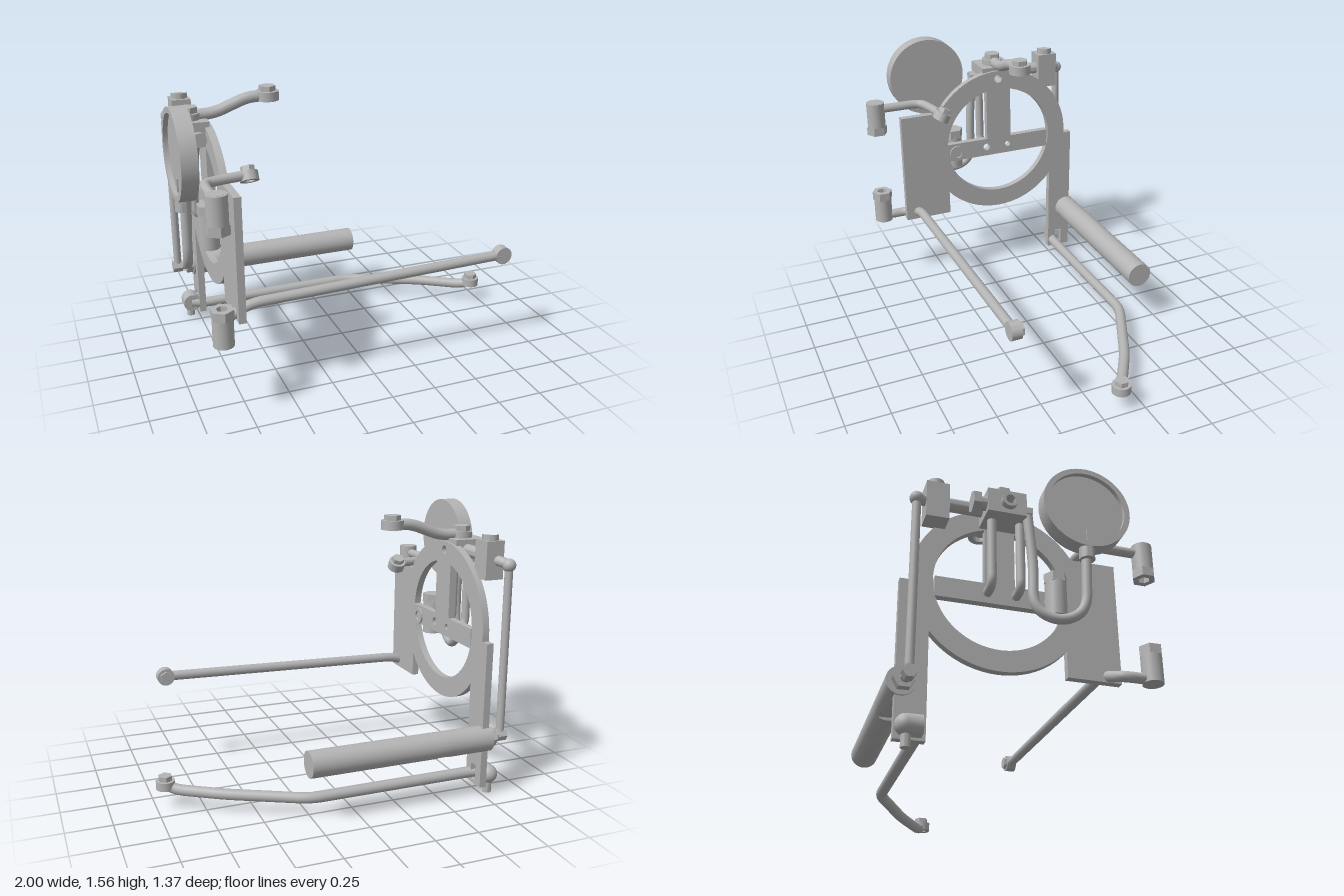
import * as THREE from 'three';
import { toCreasedNormals } from 'three/addons/utils/BufferGeometryUtils.js';

const V = (a) => new THREE.Vector3(...a);

export function createModel() {
  const model = new THREE.Group();
  const steel = new THREE.MeshStandardMaterial({ color: 0xb4b4b4 });
  steel.name = 'steelGrey';

  const add = (name, geo, pos = [0, 0, 0], parent = model) => {
    const m = new THREE.Mesh(geo, steel);
    m.name = name;
    m.position.set(...pos);
    parent.add(m);
    return m;
  };
  const box = (name, x0, x1, y0, y1, z0, z1) =>
    add(name, new THREE.BoxGeometry(x1 - x0, y1 - y0, z1 - z0), [(x0 + x1) / 2, (y0 + y1) / 2, (z0 + z1) / 2]);

  // Solid round or hexagonal bar between two points
  const bar = (name, a, b, r, sides = 28, parent = model) => {
    const p = V(a), q = V(b), d = q.clone().sub(p);
    const geo = toCreasedNormals(new THREE.CylinderGeometry(r, r, d.length(), sides), 0.6);
    const m = add(name, geo, p.clone().add(q).multiplyScalar(0.5).toArray(), parent);
    m.quaternion.setFromUnitVectors(new THREE.Vector3(0, 1, 0), d.normalize());
    return m;
  };

  // Pipe along a polyline with rounded corners
  const pipe = (name, pts, r, bend = 0.06) => {
    const p = pts.map(V), path = new THREE.CurvePath();
    let last = p[0];
    for (let i = 1; i < p.length - 1; i++) {
      const toward = (q) => {
        const d = q.clone().sub(p[i]);
        return p[i].clone().add(d.setLength(Math.min(bend, d.length() * 0.48)));
      };
      const a = toward(p[i - 1]), b = toward(p[i + 1]);
      path.add(new THREE.LineCurve3(last, a));
      path.add(new THREE.QuadraticBezierCurve3(a, p[i], b));
      last = b;
    }
    path.add(new THREE.LineCurve3(last, p[p.length - 1]));
    path.arcLengthDivisions = 600;
    return add(name, new THREE.TubeGeometry(path, 120, r, 16), [0, 0, 0]);
  };

  // Shapes are drawn in (z, y) and given thickness along x, from x1 down to x0
  const rect = (z0, z1, y0, y1, Type = THREE.Shape) =>
    new Type([[z0, y0], [z1, y0], [z1, y1], [z0, y1]].map((c) => new THREE.Vector2(...c)));
  const disc = (z, y, r, Type = THREE.Path) => new Type().absarc(z, y, r, 0, Math.PI * 2);
  const slab = (name, shape, x0, x1, holes = []) => {
    shape.holes.push(...holes);
    const geo = new THREE.ExtrudeGeometry(shape, { depth: x1 - x0, bevelEnabled: false, curveSegments: 36 });
    return add(name, toCreasedNormals(geo.rotateY(-Math.PI / 2), 0.5), [x1, 0, 0]);
  };
  const lathe = (pts, sides = 28) =>
    toCreasedNormals(new THREE.LatheGeometry(pts.map((c) => new THREE.Vector2(...c)), sides), 0.6);

  // Banjo end: ring hollow from below with a hexagonal bolt head on top
  const banjo = (name, pos, axis, r = 0.063, h = 0.052) => {
    const g = new THREE.Group();
    g.name = name;
    add('ring', lathe([[0, h * 0.6], [r * 0.55, h * 0.6], [r * 0.55, 0], [r, 0], [r, h], [0, h]]), [0, 0, 0], g);
    bar('boltHead', [0, h, 0], [0, h + 0.028, 0], r * 0.75, 6, g);
    g.position.set(...pos);
    g.quaternion.setFromUnitVectors(new THREE.Vector3(0, 1, 0), V(axis).normalize());
    model.add(g);
  };

  // Threaded sleeve: round body with a hexagonal open collar; flip puts the collar below
  const sleeve = (name, x, y, z, flip) => {
    const g = new THREE.Group();
    g.name = name;
    add('body', lathe([[0, -0.1], [0.054, -0.1], [0.054, 0.055], [0, 0.055]]), [0, 0, 0], g);
    add('collar', lathe([[0.062, 0.05], [0.062, 0.1], [0.03, 0.1], [0.03, 0.056]], 6), [0, 0, 0], g);
    g.position.set(x, y, z);
    if (flip) g.rotation.x = Math.PI;
    model.add(g);
  };

  // Mounting plate: ring, side plates and inner tee
  const X0 = -0.76, X1 = -0.72, CZ = -0.125, CY = 0.911;
  slab('ringPlate', disc(CZ, CY, 0.46, THREE.Shape), X0, X1, [disc(CZ, CY, 0.345), disc(CZ, 1.32, 0.025)]);
  slab('frontSidePlate', rect(0.222, 0.51, 0.465, 1.15), X0, X1);
  slab('rearSidePlate', rect(-0.635, -0.483, 0.055, 0.89), X0, X1, [rect(-0.58, -0.535, 0.075, 0.17, THREE.Path)]);
  slab('crossbar', rect(-0.46, 0.22, 0.82, 0.932), X0, X1, [disc(-0.04, 0.878, 0.022), disc(-0.185, 0.878, 0.018)]);
  slab('uprightBar', rect(-0.205, -0.045, 0.93, 1.27), X0, X1);

  // Fitting through the crossbar
  bar('crossbarFitting', [-0.81, 0.76, 0.155], [-0.81, 0.96, 0.155], 0.056);
  bar('crossbarFittingHead', [-0.81, 0.95, 0.155], [-0.81, 1.003, 0.155], 0.062, 6);
  slab('crossbarPort', disc(0.16, 0.868, 0.05, THREE.Shape), -0.8, -0.71, [disc(0.16, 0.868, 0.028)]);

  // Distribution block, drilled through, with its ports and feed pipes
  slab('manifoldBlock', rect(-0.235, -0.03, 1.255, 1.39), -0.93, -0.735, [disc(CZ, 1.32, 0.025)]);
  slab('manifoldNipple', disc(CZ, 1.32, 0.042, THREE.Shape), -0.962, -0.93, [disc(CZ, 1.32, 0.025)]);
  bar('manifoldFrontPort', [-0.8, 1.3, -0.035], [-0.8, 1.3, 0], 0.04);
  bar('gaugePort', [-0.89, 1.3, -0.035], [-0.89, 1.3, 0.005], 0.035, 6);
  bar('rearPort', [-0.89, 1.315, -0.23], [-0.89, 1.315, -0.28], 0.036);
  bar('rearPortNut', [-0.89, 1.315, -0.27], [-0.89, 1.315, -0.31], 0.06, 6);
  for (const z of [-0.04, -0.19])
    pipe('feedPipe', [[-0.84, 1.27, z], [-0.84, 0.878, z], [-0.755, 0.878, z]], 0.024, 0.05);

  // Top arm
  bar('topArmRing', [-0.825, 1.385, -0.127], [-0.825, 1.425, -0.127], 0.062);
  bar('topArmBolt', [-0.825, 1.42, -0.127], [-0.825, 1.457, -0.127], 0.05, 6);
  pipe('topArm', [[-0.82, 1.408, -0.127], [-0.69, 1.408, -0.127], [-0.5, 1.48, -0.127], [-0.4, 1.48, -0.127]], 0.032);
  banjo('topArmEnd', [-0.387, 1.455, -0.127], [0, 1, 0]);

  // Gauge: open-faced drum facing outward, with pointer and stem
  const drum = add('gauge', lathe([[0, 0], [0.235, 0], [0.235, 0.085], [0.205, 0.085], [0.205, 0.06], [0, 0.06]], 56),
    [-0.915, 1.325, 0.272]);
  drum.rotation.z = Math.PI / 2;
  box('gaugePointer', -0.984, -0.974, 1.13, 1.2, 0.268, 0.276);
  bar('gaugeStem', [-0.96, 1.03, 0.272], [-0.96, 1.1, 0.272], 0.04);
  pipe('gaugePipe', [[-0.95, 1.05, 0.272], [-0.95, 0.74, 0.26], [-0.93, 0.67, 0.13], [-0.9, 0.74, 0.0],
    [-0.89, 1.0, 0.01], [-0.89, 1.3, -0.015]], 0.026, 0.1);

  // Valve behind the block, with slotted screw and long return pipe
  bar('valveNeck', [-0.81, 1.33, -0.23], [-0.81, 1.33, -0.43], 0.035);
  box('valveBody', -0.857, -0.75, 1.215, 1.425, -0.535, -0.415);
  bar('valveScrew', [-0.803, 1.42, -0.477], [-0.803, 1.445, -0.477], 0.045);
  for (const s of [-1, 1]) {
    const half = new THREE.CylinderGeometry(0.045, 0.045, 0.014, 16, 1, s > 0 ? -1.35 : 1.79, 2.7);
    add('valveScrewHead', toCreasedNormals(half, 0.6), [-0.803, 1.45, -0.477]);
  }
  pipe('valveOutlet', [[-0.82, 1.32, -0.52], [-0.835, 1.315, -0.56], [-0.86, 1.3, -0.585]], 0.028, 0.03);
  add('returnElbow', new THREE.SphereGeometry(0.037, 24, 16), [-0.86, 1.3, -0.585]);
  pipe('returnPipe', [[-0.86, 1.3, -0.585], [-0.86, 0.34, -0.59], [-0.78, 0.34, -0.6]], 0.023, 0.04);

  // Long canister, notched underneath, with its nuts
  const CC = [0.34, -0.608], CR = 0.073;
  bar('canister', [-0.77, CC[0], CC[1]], [-0.51, CC[0], CC[1]], CR, 40);
  bar('canister', [-0.44, CC[0], CC[1]], [0.29, CC[0], CC[1]], CR, 40);
  slab('canisterNotch', new THREE.Shape().absarc(CC[1], CC[0], CR, -0.87, Math.PI + 0.87), -0.51, -0.44);
  bar('canisterNut', [-0.81, 0.34, -0.6], [-0.765, 0.34, -0.6], 0.055, 6);
  bar('returnNut', [-0.89, 0.34, -0.59], [-0.835, 0.34, -0.59], 0.036, 6);
  bar('canisterInlet', [-0.85, 0.34, -0.595], [-0.79, 0.34, -0.595], 0.028);

  // Two sleeves at the front with their pipes
  sleeve('upperSleeve', -0.868, 1.125, 0.625, true);
  bar('upperSleeveCap', [-0.868, 1.2, 0.625], [-0.868, 1.226, 0.625], 0.045, 6);
  pipe('upperPipe', [[-0.868, 1.18, 0.6], [-0.868, 1.18, 0.34], [-0.78, 1.18, 0.31], [-0.62, 1.18, 0.285]], 0.026, 0.07);
  banjo('upperPipeEnd', [-0.618, 1.15, 0.297], [0, 0.85, -0.5], 0.05, 0.05);
  sleeve('lowerSleeve', -0.87, 0.53, 0.625, false);
  pipe('frontLongPipe', [[-0.87, 0.455, 0.6], [-0.87, 0.455, 0.47], [-0.8, 0.48, 0.445], [-0.68, 0.532, 0.43],
    [0.81, 0.568, 0.43]], 0.028, 0.07);
  bar('frontLongPipeEnd', [0.815, 0.568, 0.4], [0.815, 0.568, 0.457], 0.05);
  bar('frontLongPipeBolt', [0.815, 0.568, 0.383], [0.815, 0.568, 0.405], 0.038, 6);

  // Lower rear pipe with elbow and drain
  pipe('rearLongPipe', [[-0.8, 0.108, -0.53], [-0.72, 0.1, -0.513], [0.24, 0.1, -0.513], [0.66, 0.105, -0.31],
    [0.9, 0.105, -0.155], [0.943, 0.135, -0.127]], 0.03, 0.07);
  banjo('rearLongPipeEnd', [0.945, 0.108, -0.127], [0, 1, 0], 0.052, 0.048);
  bar('drainElbow', [-0.8, 0.11, -0.51], [-0.8, 0.11, -0.585], 0.053);
  add('drainElbowEnd', new THREE.SphereGeometry(0.053, 24, 16), [-0.8, 0.11, -0.585]);
  bar('drainElbowArm', [-0.8, 0.11, -0.575], [-0.75, 0.11, -0.56], 0.04);
  bar('drain', [-0.8, 0, -0.583], [-0.8, 0.1, -0.583], 0.024);

  return model;
}
